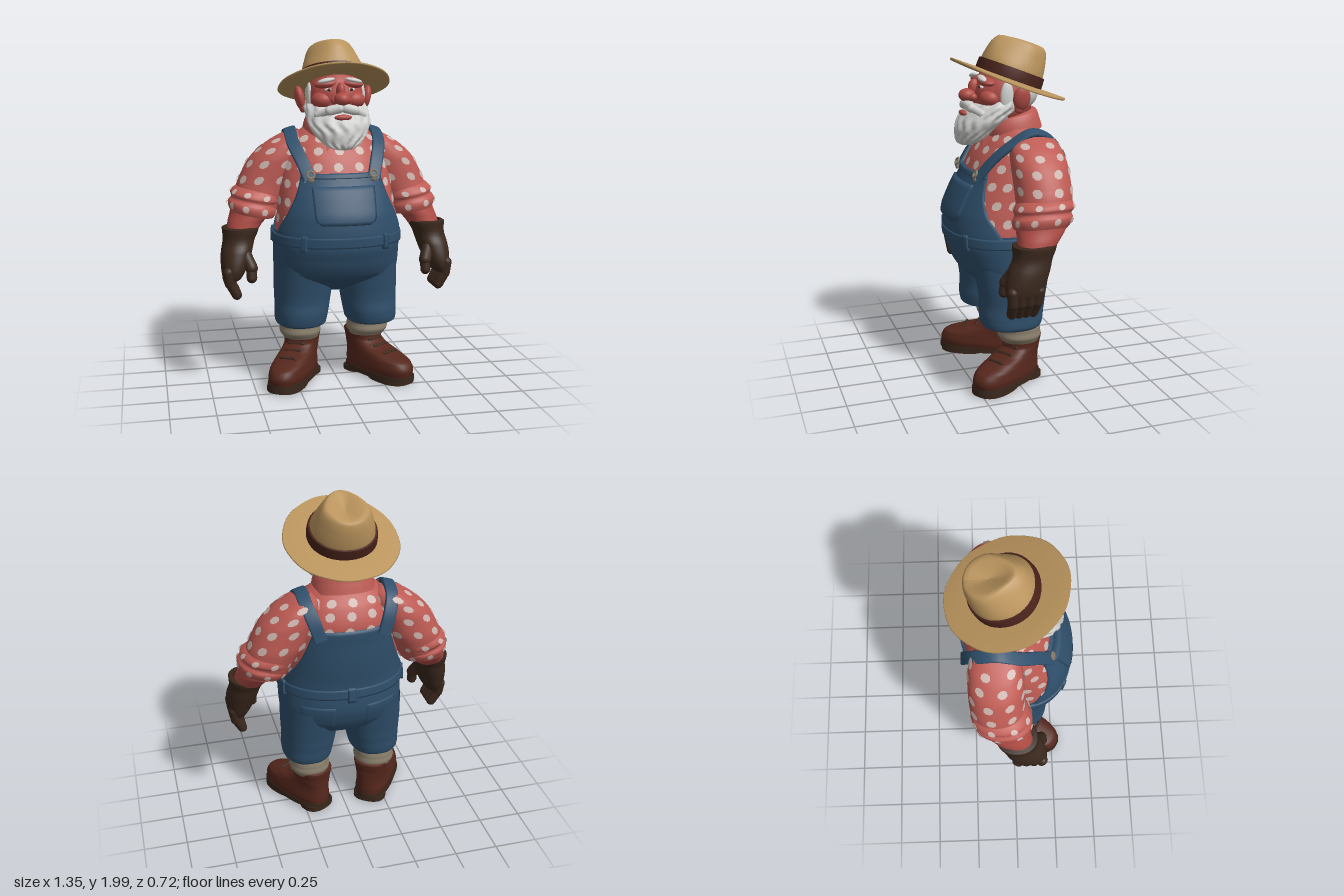
import * as THREE from 'three';
import { mergeGeometries } from 'three/addons/utils/BufferGeometryUtils.js';
import { ParametricGeometry } from 'three/addons/geometries/ParametricGeometry.js';

const { clamp, lerp } = THREE.MathUtils;
const V = (x, y, z) => new THREE.Vector3(x, y, z);

function makeMaterials() {
  const colors = {
    straw: 0xba945d, hatBand: 0x4a231b, skin: 0xb04c45, shirt: 0xbe5b54, dot: 0xcdb5ae,
    denim: 0x2f4f6b, glove: 0x3a281d, boot: 0x55271c, sock: 0x8a7f6c, beard: 0xcfcfcd,
  };
  const mats = {};
  for (const [name, color] of Object.entries(colors)) {
    mats[name] = new THREE.MeshStandardMaterial({ color, side: THREE.DoubleSide });
    mats[name].name = name;
  }
  return mats;
}

// Smooth, overshoot-free interpolation of rows [y, cx, cz, rx, rz]
function sample(rows, y) {
  let i = 0;
  while (i < rows.length - 2 && rows[i + 1][0] < y) i++;
  const a = rows[i], b = rows[i + 1], p = rows[i - 1], q = rows[i + 2];
  const h = b[0] - a[0], t = (y - a[0]) / h;
  const mean = (m, n) => (m * n > 0 ? (2 * m * n) / (m + n) : 0);
  return a.map((v, k) => {
    const s = (b[k] - v) / h;
    const m0 = p ? mean(s, (v - p[k]) / (a[0] - p[0])) : s;
    const m1 = q ? mean(s, (q[k] - b[k]) / (q[0] - b[0])) : s;
    const t2 = t * t, t3 = t2 * t;
    return (2 * t3 - 3 * t2 + 1) * v + (t3 - 2 * t2 + t) * h * m0 + (3 * t2 - 2 * t3) * b[k] + (t3 - t2) * h * m1;
  });
}

// Surface of stacked superellipses; angle 0 is the front, growing toward +x
function surface(rows, pow = 2.2) {
  const bend = (c) => Math.sign(c) * Math.abs(c) ** (2 / pow);
  const f = (a, y, off = 0) => {
    const [, cx, cz, rx, rz] = sample(rows, y);
    return V(cx + (rx + off) * bend(Math.sin(a)), y, cz + (rz + off) * bend(Math.cos(a)));
  };
  f.rows = rows;
  f.rx = (y) => sample(rows, y)[3];
  return f;
}

function loft(s, seg = 40, ridge = () => 0) {
  const rows = s.rows, n = rows.length - 1;
  return new ParametricGeometry((u, v, t) => {
    const i = Math.min(n - 1, Math.floor(v * n)), y = lerp(rows[i][0], rows[i + 1][0], v * n - i);
    const a = (u * 2 - 1) * Math.PI;
    t.copy(s(a, y, ridge(a, y)));
  }, seg, n * 3);
}
const solid = (rows, pow, seg) => loft(surface(rows, pow), seg);

// Raised panel lying on a surface
function patch(s, half, y0, y1, off, center = 0, nu = 24, nv = 12) {
  const g = new ParametricGeometry((u, v, t) => {
    const p = clamp((u * nu - 1) / (nu - 2), 0, 1), q = clamp((v * nv - 1) / (nv - 2), 0, 1);
    const y = lerp(y0, y1, q), k = clamp(Math.min(u * nu, (1 - u) * nu, v * nv, (1 - v) * nv), 0, 1);
    t.copy(s(center + (2 * p - 1) * half(y), y, lerp(-0.004, off, k)));
  }, nu, nv);
  g.computeVertexNormals();
  return g;
}
const halfWidth = (s, table) => (y) => Math.asin(Math.min(1, sample(table, y)[1] / s.rx(y)) ** 1.1);

// Blocky printed spots of even size lying on a surface
function dots(s, ys, size, spacing) {
  const list = [];
  ys.forEach((y0, r) => {
    const n = Math.round((Math.PI * 2 * s.rx(y0)) / spacing);
    for (let i = 0; i < n; i++) {
      const a0 = ((i + 0.5 + r * 0.12) / n) * Math.PI * 2;
      const da = (size * 0.1) / s(a0 + 0.05, y0).distanceTo(s(a0 - 0.05, y0));
      const dy = (size * 0.02) / s(a0, y0 + 0.01).distanceTo(s(a0, y0 - 0.01));
      const g = new THREE.CircleGeometry(1, 8, Math.PI / 8), p = g.attributes.position;
      for (let j = 0; j < p.count; j++) {
        const q = s(a0 + p.getX(j) * da, y0 + p.getY(j) * dy, 0.006);
        p.setXYZ(j, q.x, q.y, q.z);
      }
      g.computeVertexNormals();
      list.push(g);
    }
  });
  return mergeGeometries(list);
}

function ball(x, y, z, rx, ry, rz, tilt = 0) {
  return new THREE.SphereGeometry(1, 24, 16).scale(rx, ry, rz).rotateZ(tilt).translate(x, y, z);
}
function capsule(a, b, r) {
  const d = b.clone().sub(a), g = new THREE.CapsuleGeometry(r, d.length(), 5, 12);
  const q = new THREE.Quaternion().setFromUnitVectors(V(0, 1, 0), d.clone().normalize());
  return g.applyQuaternion(q).translate((a.x + b.x) / 2, (a.y + b.y) / 2, (a.z + b.z) / 2);
}
function mirrored(geo) {
  const g = geo.clone().applyMatrix4(new THREE.Matrix4().makeScale(-1, 1, 1));
  const idx = g.index ? Array.from(g.index.array) : [...Array(g.attributes.position.count).keys()];
  for (let i = 0; i < idx.length; i += 3) [idx[i + 1], idx[i + 2]] = [idx[i + 2], idx[i + 1]];
  g.setIndex(idx);
  return g;
}

// Flat ribbon swept over the shoulder
function strap(points, halfW, halfT) {
  const curve = new THREE.CatmullRomCurve3(points), e = (c) => Math.sign(c) * Math.abs(c) ** 0.4;
  const g = new ParametricGeometry((u, v, t) => {
    const T = curve.getTangentAt(v), S = V(1, -0.3, 0).addScaledVector(T, -T.dot(V(1, -0.3, 0))).normalize();
    const N = T.clone().cross(S), a = u * Math.PI * 2;
    t.copy(curve.getPointAt(v)).addScaledVector(S, halfW * e(Math.cos(a))).addScaledVector(N, halfT * e(Math.sin(a)));
  }, 16, 30);
  g.computeVertexNormals();
  return g;
}

export function createModel() {
  const model = new THREE.Group(), M = makeMaterials();
  model.name = 'farmer';
  const add = (name, geo, mat, parent = model) => {
    const m = new THREE.Mesh(geo, mat);
    m.name = name;
    parent.add(m);
  };
  const pair = (name, geo, mat) => { add(name + 'Left', geo, mat); add(name + 'Right', mirrored(geo), mat); };

  // Shirt body with spots and collar
  const torso = surface([[0.8, 0, 0.035, 0.355, 0.285], [0.9, 0, 0.042, 0.355, 0.292], [1.0, 0, 0.032, 0.345, 0.292],
    [1.1, 0, 0.008, 0.335, 0.278], [1.2, 0, -0.02, 0.325, 0.255], [1.3, 0, -0.045, 0.305, 0.235],
    [1.4, 0, -0.06, 0.265, 0.185], [1.47, 0, -0.065, 0.2, 0.13], [1.52, 0, -0.06, 0.12, 0.1]]);
  add('shirtBody', loft(torso, 56), M.shirt);
  add('shirtDots', dots(torso, [0.99, 1.09, 1.19, 1.285, 1.37, 1.435], 0.027, 0.108), M.dot);
  add('collar', solid([[1.45, 0, -0.05, 0.18, 0.165], [1.5, 0, -0.05, 0.172, 0.16], [1.55, 0, -0.055, 0.152, 0.147],
    [1.56, 0, -0.055, 0.125, 0.12]]).translate(0, -1.5, 0.05).rotateX(0.2).translate(0, 1.5, -0.05), M.shirt);
  const flap = new THREE.Shape([[0.01, 0.05], [0.14, 0.08], [0.15, 0], [0.08, -0.07]].map((p) => new THREE.Vector2(...p)));
  pair('collarFlap', new THREE.ExtrudeGeometry(flap, { depth: 0.012, bevelEnabled: false })
    .rotateX(-0.6).rotateY(0.4).translate(0, 1.4, 0.135), M.shirt);
  add('neck', capsule(V(0, 1.46, -0.04), V(0, 1.58, -0.02), 0.11), M.skin);

  // Sleeves, rolled cuffs and forearms
  const sleeve = surface([[1.0, 0.46, -0.07, 0.12, 0.14], [1.1, 0.43, -0.09, 0.145, 0.15], [1.2, 0.385, -0.1, 0.162, 0.155],
    [1.3, 0.335, -0.1, 0.16, 0.155], [1.38, 0.28, -0.1, 0.135, 0.145], [1.44, 0.235, -0.1, 0.085, 0.115], [1.475, 0.215, -0.1, 0.02, 0.04]]);
  pair('sleeve', loft(sleeve), M.shirt);
  pair('sleeveDots', dots(sleeve, [1.2, 1.29, 1.365, 1.42], 0.027, 0.108), M.dot);
  const cuff = surface([[0.985, 0.47, -0.05, 0.08, 0.1], [0.995, 0.47, -0.055, 0.127, 0.147], [1.04, 0.472, -0.067, 0.144, 0.167],
    [1.07, 0.467, -0.073, 0.134, 0.155], [1.095, 0.465, -0.08, 0.146, 0.167], [1.13, 0.45, -0.09, 0.138, 0.155], [1.16, 0.42, -0.1, 0.11, 0.12]]);
  const lean = (g) => g.translate(-0.46, -1.05, 0).rotateZ(0.2).translate(0.46, 1.05, 0);
  pair('rolledCuff', lean(loft(cuff)), M.shirt);
  pair('cuffDots', lean(dots(cuff, [1.03, 1.108], 0.02, 0.105)), M.dot);
  pair('forearm', solid([[0.88, 0.555, 0.01, 0.08, 0.09], [0.95, 0.525, -0.025, 0.1, 0.115], [1.0, 0.492, -0.05, 0.117, 0.135],
    [1.06, 0.475, -0.065, 0.12, 0.14]]), M.skin);

  // Gloves with fingers and thumb
  pair('glove', solid([[0.635, 0.61, 0.085, 0.02, 0.05], [0.66, 0.61, 0.085, 0.05, 0.095], [0.72, 0.6, 0.075, 0.075, 0.112],
    [0.8, 0.583, 0.05, 0.088, 0.115], [0.86, 0.568, 0.025, 0.09, 0.108], [0.93, 0.555, 0.01, 0.106, 0.12], [0.937, 0.555, 0.01, 0.08, 0.09]]), M.glove);
  for (let k = 0; k < 4; k++) {
    const knuckle = V(0.64, 0.7, 0.01 + k * 0.05), joint = V(0.632, 0.635, 0.02 + k * 0.045), tip = V(0.595, 0.568, 0.03 + k * 0.04);
    pair('finger' + k, mergeGeometries([capsule(knuckle, joint, 0.031), capsule(joint, tip, 0.029)]), M.glove);
  }
  pair('thumb', mergeGeometries([capsule(V(0.54, 0.79, 0.115), V(0.51, 0.72, 0.155), 0.036),
    capsule(V(0.51, 0.72, 0.155), V(0.51, 0.665, 0.165), 0.03)]), M.glove);

  // Overalls: hips, legs, waistband
  const pants = surface([[0.55, 0, -0.01, 0.2, 0.1], [0.58, 0, -0.01, 0.29, 0.16], [0.62, 0, 0.005, 0.348, 0.21], [0.68, 0, 0.02, 0.362, 0.258],
    [0.76, 0, 0.027, 0.367, 0.288], [0.84, 0, 0.038, 0.367, 0.3], [0.92, 0, 0.042, 0.363, 0.3]]);
  add('hips', loft(pants, 56), M.denim);
  pair('trouserLeg', solid([[0.338, 0.21, 0, 0.1, 0.11], [0.345, 0.21, 0.01, 0.127, 0.15], [0.365, 0.21, 0.02, 0.148, 0.176],
    [0.42, 0.205, 0.02, 0.155, 0.186], [0.5, 0.198, 0.012, 0.162, 0.19], [0.6, 0.193, 0.01, 0.17, 0.205], [0.74, 0.188, 0.01, 0.172, 0.23]], 2.3), M.denim);
  add('waistband', patch(pants, () => Math.PI, 0.85, 0.908, 0.011, 0, 64, 8), M.denim);
  for (const a of [-1.9, -0.63, 0.63, 1.9, Math.PI]) add('beltLoop', patch(pants, () => 0.05, 0.83, 0.918, 0.019, a, 6, 8), M.denim);
  for (const s of [-1, 1]) add('backPocket', patch(pants, () => 0.3, 0.64, 0.79, 0.005, Math.PI + s * 0.52, 14), M.denim);

  // Bib, back panel, chest pocket
  const bib = halfWidth(torso, [[0.86, 0.36], [0.95, 0.335], [1.05, 0.288], [1.15, 0.245], [1.25, 0.215]]);
  const back = halfWidth(torso, [[0.86, 0.36], [0.95, 0.33], [1.1, 0.265], [1.29, 0.205]]);
  const pocket = halfWidth(torso, [[0.98, 0.125], [1.01, 0.16], [1.19, 0.165]]);
  add('bib', patch(torso, bib, 0.87, 1.25, 0.014, 0, 40, 24), M.denim);
  add('bibHem', patch(torso, bib, 1.225, 1.252, 0.018, 0, 40, 6), M.denim);
  add('backPanel', patch(torso, back, 0.87, 1.29, 0.014, Math.PI, 40, 24), M.denim);
  add('chestPocket', patch(torso, pocket, 0.98, 1.185, 0.03), M.denim);

  // Shoulder straps and buckles
  pair('strap', strap([V(0.182, 1.22, 0.212), V(0.22, 1.33, 0.13), V(0.25, 1.412, 0.038), V(0.25, 1.477, -0.09),
    V(0.242, 1.438, -0.2), V(0.213, 1.355, -0.26), V(0.18, 1.25, -0.279)], 0.037, 0.013), M.denim);
  pair('buckle', new THREE.TorusGeometry(0.02, 0.007, 6, 16).rotateX(-0.4).translate(0.18, 1.25, 0.222), M.sock);
  pair('buckleButton', ball(0.178, 1.222, 0.224, 0.017, 0.017, 0.01), M.sock);

  // Socks and boots, toes turned out
  pair('sock', solid([[0.25, 0.2, -0.035, 0.105, 0.11], [0.29, 0.205, -0.03, 0.122, 0.126], [0.32, 0.205, -0.03, 0.118, 0.122], [0.36, 0.205, -0.02, 0.12, 0.125]]), M.sock);
  const place = (g) => g.rotateY(0.54).translate(0.19, 0, -0.05);
  pair('boot', place(solid([[0.04, 0, 0.135, 0.1, 0.24], [0.08, 0, 0.138, 0.108, 0.246], [0.12, 0, 0.13, 0.105, 0.236], [0.155, 0, 0.085, 0.1, 0.19],
    [0.185, 0, 0.03, 0.097, 0.135], [0.22, 0, 0, 0.097, 0.106], [0.27, 0, -0.005, 0.105, 0.108], [0.282, 0, -0.005, 0.08, 0.085]], 2.5)), M.boot);
  const slab = (z, rx, rz, y0, y1) => place(solid([[y0, 0, z, 0.001, 0.001], [y0 + 0.003, 0, z, rx, rz],
    [y1 - 0.003, 0, z, rx, rz], [y1, 0, z, 0.01, 0.01]], 2.5));
  pair('sole', slab(0.138, 0.112, 0.252, 0.018, 0.05), M.glove);
  pair('soleFront', slab(0.235, 0.106, 0.145, 0, 0.025), M.glove);
  pair('heel', slab(-0.03, 0.1, 0.083, 0, 0.03), M.glove);
  for (const [y, z] of [[0.168, 0.24], [0.19, 0.158], [0.22, 0.11], [0.248, 0.106]])
    pair('lace', place(capsule(V(-0.045, y, z - 0.012), V(0.045, y, z - 0.012), 0.009)), M.glove);

  // Head and face
  add('head', ball(0, 1.66, 0, 0.165, 0.19, 0.175), M.skin);
  add('face', ball(0, 1.67, 0.04, 0.152, 0.13, 0.135), M.skin);
  add('nose', mergeGeometries([ball(0, 1.665, 0.21, 0.046, 0.038, 0.05), ball(0, 1.705, 0.17, 0.026, 0.05, 0.035),
    ball(0.036, 1.657, 0.187, 0.024, 0.022, 0.024), ball(-0.036, 1.657, 0.187, 0.024, 0.022, 0.024)]), M.skin);
  pair('cheek', ball(0.086, 1.655, 0.104, 0.068, 0.05, 0.062), M.skin);
  pair('brow', ball(0.07, 1.745, 0.115, 0.07, 0.025, 0.05, -0.1), M.skin);
  pair('eye', ball(0.064, 1.714, 0.146, 0.024, 0.009, 0.014), M.beard);
  pair('pupil', ball(0.064, 1.714, 0.157, 0.01, 0.008, 0.006), M.glove);
  pair('eyebrow', ball(0.078, 1.765, 0.148, 0.05, 0.014, 0.022, -0.2), M.beard);
  pair('ear', mergeGeometries([ball(0.195, 1.66, -0.045, 0.028, 0.07, 0.05, -0.2), ball(0.18, 1.605, -0.035, 0.018, 0.03, 0.028)]), M.skin);
  add('mouth', ball(0, 1.566, 0.236, 0.05, 0.016, 0.02), M.skin);

  // Hair, beard and moustache
  add('hair', ball(0, 1.68, -0.055, 0.162, 0.125, 0.148), M.beard);
  pair('sideburn', ball(0.152, 1.66, 0.025, 0.02, 0.09, 0.04), M.beard);
  const beard = surface([[1.385, 0, 0.225, 0.025, 0.02], [1.4, 0, 0.215, 0.075, 0.055], [1.43, 0, 0.195, 0.115, 0.082], [1.48, 0, 0.165, 0.152, 0.11],
    [1.54, 0, 0.115, 0.178, 0.138], [1.6, 0, 0.052, 0.18, 0.146], [1.645, 0, 0, 0.164, 0.12]], 2);
  add('beard', loft(beard, 96, (a, y) => 0.005 * Math.sin(a * 13 + 1.5 * Math.sin(y * 50))), M.beard);
  pair('moustache', mergeGeometries([capsule(V(0.018, 1.615, 0.218), V(0.072, 1.602, 0.208), 0.027),
    capsule(V(0.072, 1.602, 0.206), V(0.128, 1.575, 0.165), 0.022)]), M.beard);

  // Straw hat, tipped back
  const hat = new THREE.Group();
  hat.name = 'hat';
  hat.position.set(0, 1.74, -0.03);
  hat.rotation.x = -0.36;
  model.add(hat);
  const reshape = (g, rule) => {
    const p = g.attributes.position, v = V(0, 0, 0);
    for (let i = 0; i < p.count; i++) { rule(v.fromBufferAttribute(p, i)); p.setXYZ(i, v.x, v.y, v.z); }
    g.computeVertexNormals();
    return g;
  };
  const crown = solid([[0, 0, 0, 0.185, 0.185], [0.08, 0, 0, 0.177, 0.182], [0.16, 0, 0, 0.155, 0.17],
    [0.21, 0, -0.005, 0.135, 0.15], [0.236, 0, -0.008, 0.11, 0.128], [0.242, 0, -0.01, 0.0002, 0.0002]], 2.1, 36);
  add('hatCrown', reshape(crown, (v) => {
    const h = clamp((v.y - 0.08) / 0.14, 0, 1), front = clamp((v.z + 0.02) / 0.15, 0, 1);
    v.x *= 1 - 0.35 * h * front;
    v.y -= 0.045 * clamp((v.y - 0.2) / 0.035, 0, 1) * Math.exp(-(v.x * v.x) / 0.003 - (v.z * v.z) / 0.012);
  }), M.straw, hat);
  add('hatBand', solid([[0.008, 0, 0, 0.17, 0.17], [0.012, 0, 0, 0.195, 0.195], [0.07, 0, 0, 0.19, 0.193], [0.075, 0, 0, 0.165, 0.17]], 2.1), M.hatBand, hat);
  const rim = [[0.15, 0], [0.25, 0], [0.345, 0], [0.35, 0.006], [0.345, 0.012], [0.25, 0.012], [0.15, 0.012]];
  add('hatBrim', reshape(new THREE.LatheGeometry(rim.map((p) => new THREE.Vector2(...p)), 72), (v) => {
    const a = Math.atan2(v.x, v.z), r = Math.hypot(v.x, v.z);
    const fray = r > 0.3 ? 1 + 0.005 * Math.sin(a * 9) : 1;
    v.x *= 0.92 * fray;
    v.z *= fray;
    v.y -= 0.18 * v.x * v.x;
  }), M.straw, hat);
  return model;
}
